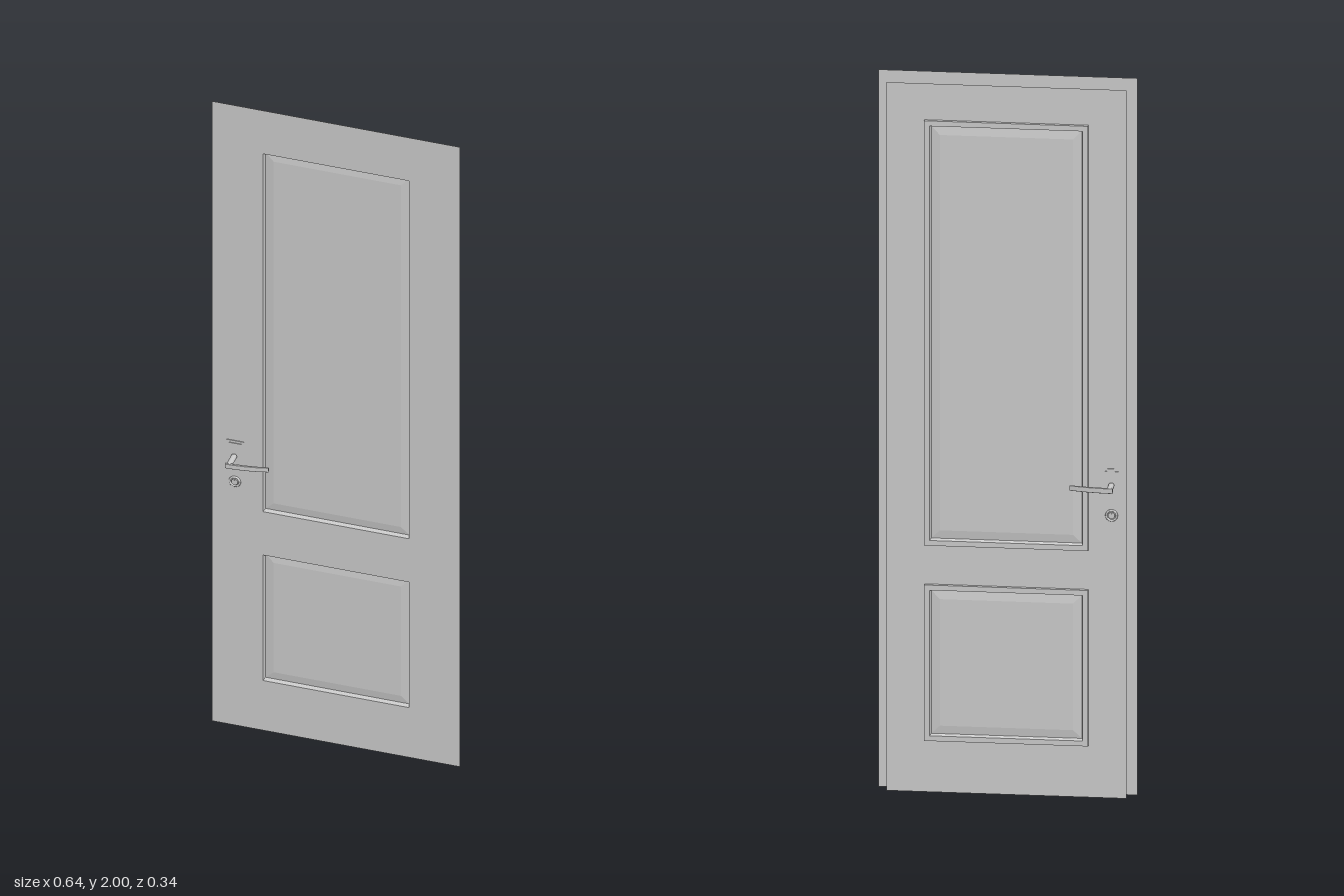
import * as THREE from 'three';

const grey = new THREE.MeshStandardMaterial({ color: 0xcccccc, side: THREE.DoubleSide });
const flat = new THREE.MeshStandardMaterial({ color: 0xcccccc, side: THREE.DoubleSide, flatShading: true });

// centre height and half height of the two panels
const PANELS = [
  { name: 'upperPanel', y: 1.2825, h: 0.5925 },
  { name: 'lowerPanel', y: 0.3625, h: 0.2175 },
];
const PANEL_HALF = 0.2195;
const LIP = 0.0145; // how far the door skin overlaps the moulding
const BACK = -0.034; // back skin plane; the front skin is at z = 0

function add(parent, name, geometry, material = grey) {
  const mesh = new THREE.Mesh(geometry, material);
  mesh.name = name;
  parent.add(mesh);
  return mesh;
}

function rectangle(path, w, y0, y1) {
  path.moveTo(-w, y0);
  path.lineTo(w, y0);
  path.lineTo(w, y1);
  path.lineTo(-w, y1);
  path.closePath();
  return path;
}

// flat door skin with two panel openings
function skin(halfWidth, height, overlap) {
  const shape = rectangle(new THREE.Shape(), halfWidth, 0, height);
  for (const p of PANELS) {
    const h = p.h - overlap;
    shape.holes.push(rectangle(new THREE.Path(), PANEL_HALF - overlap, p.y - h, p.y + h));
  }
  return new THREE.ShapeGeometry(shape);
}

// two-sided moulded panel: rectangular rings run from front field to back field
function panelGeometry(w, h) {
  const front = [[0.041, -0.0105], [0.018, -0.0135], [0.0165, -0.012], [LIP, -0.0015], [0, -0.0015]];
  const back = front.map(([inset, z]) => [inset, -0.0458 - z]).reverse();
  const rings = [...front, ...back].map(([i, z]) => [
    [-w + i, -h + i, z], [w - i, -h + i, z], [w - i, h - i, z], [-w + i, h - i, z],
  ]);
  const pos = [];
  const quad = (a, b, c, d) => pos.push(...a, ...b, ...c, ...a, ...c, ...d);
  quad(...rings[0]);
  for (let r = 0; r < rings.length - 1; r++) {
    const a = rings[r], b = rings[r + 1];
    for (let i = 0; i < 4; i++) {
      const j = (i + 1) % 4;
      quad(a[i], b[i], b[j], a[j]);
    }
  }
  quad(...rings[rings.length - 1].slice().reverse());
  const g = new THREE.BufferGeometry();
  g.setAttribute('position', new THREE.Float32BufferAttribute(pos, 3));
  g.computeVertexNormals();
  return g;
}

// lever: curved outline seen from above, extruded upward
function leverGeometry() {
  const s = new THREE.Shape();
  s.moveTo(-0.009, 0.063);
  s.quadraticCurveTo(0.055, 0.061, 0.108, 0.0455);
  s.lineTo(0.107, 0.041);
  s.quadraticCurveTo(0.055, 0.054, -0.009, 0.055);
  s.closePath();
  const g = new THREE.ExtrudeGeometry(s, {
    depth: 0.010, curveSegments: 12, bevelEnabled: true,
    bevelThickness: 0.002, bevelSize: 0.001, bevelSegments: 2, bevelOffset: -0.001,
  });
  g.translate(0, 0, -0.005);
  // shape plane becomes x-z
  g.rotateX(Math.PI / 2);
  return g;
}

function handle(name) {
  const group = new THREE.Group();
  group.name = name;
  group.position.x = -0.282;

  // backplate in two shallow steps
  add(group, 'backplate', new THREE.BoxGeometry(0.049, 0.168, 0.002)).position.set(0, 0.835, 0.001);
  add(group, 'backplateStep', new THREE.BoxGeometry(0.036, 0.154, 0.002)).position.set(0, 0.835, 0.003);

  const shank = add(group, 'shank', new THREE.CylinderGeometry(0.008, 0.008, 0.049, 24));
  shank.rotation.x = Math.PI / 2;
  shank.position.set(0, 0.875, 0.0355);

  add(group, 'lever', leverGeometry()).position.y = 0.875;

  // lock cylinder with raised rim
  const lock = add(group, 'lockCylinder', new THREE.CylinderGeometry(0.009, 0.009, 0.004, 20));
  lock.rotation.x = Math.PI / 2;
  lock.position.set(0, 0.79, 0.006);
  add(group, 'lockRim', new THREE.TorusGeometry(0.014, 0.003, 8, 28)).position.set(0, 0.79, 0.005);
  add(group, 'keySlot', new THREE.BoxGeometry(0.003, 0.012, 0.002)).position.set(0, 0.79, 0.0085);
  return group;
}

export function createModel() {
  const model = new THREE.Group();
  model.name = 'door';

  // the leaf stands slightly turned about the vertical
  const leaf = new THREE.Group();
  leaf.name = 'doorLeaf';
  leaf.rotation.y = -THREE.MathUtils.degToRad(23);
  leaf.position.z = 0.0325;
  model.add(leaf);

  // front skin overhangs the smaller back skin as a rebate
  add(leaf, 'frontSkin', skin(0.347, 2, LIP));
  const back = skin(0.322, 1.976, 0.002);
  back.rotateY(Math.PI);
  add(leaf, 'backSkin', back).position.z = BACK;

  for (const p of PANELS) {
    add(leaf, p.name, panelGeometry(PANEL_HALF, p.h), flat).position.y = p.y;
  }

  leaf.add(handle('frontHandle'));
  const backHandle = handle('backHandle');
  backHandle.scale.z = -1;
  backHandle.position.z = BACK;
  leaf.add(backHandle);

  return model;
}
